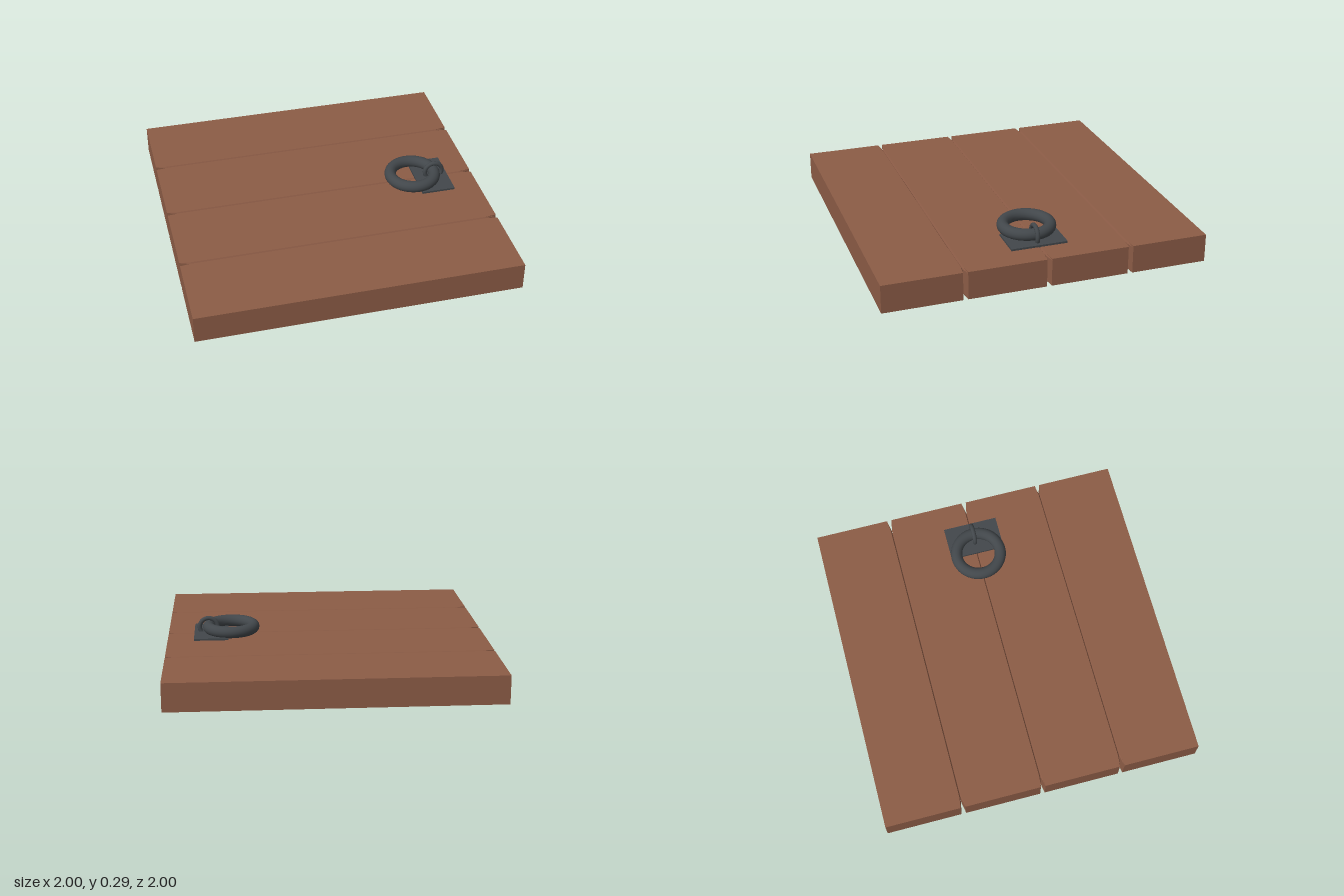
import * as THREE from 'three';

const H = 0.175; // plank thickness

// Plank lofted along x; jointed long edges are chamfered and flare open at the ends
function plankGeometry(z0, z1, jointBack, jointFront) {
  const stations = [[-1, 0.015, 0.015], [-0.93, 0.007, 0.001], [0.93, 0.007, 0.001], [1, 0.015, 0.015]];
  const c = 0.01;
  const rings = stations.map(([x, edge, mid]) => {
    const a = jointBack ? [edge, mid] : [0, 0];
    const b = jointFront ? [edge, mid] : [0, 0];
    return [
      [x, 0, z0 + a[0]], [x, c, z0 + a[1]], [x, H - c, z0 + a[1]], [x, H, z0 + a[0]],
      [x, H, z1 - b[0]], [x, H - c, z1 - b[1]], [x, c, z1 - b[1]], [x, 0, z1 - b[0]],
    ];
  });
  const pos = [];
  const tri = (p, q, r) => pos.push(...p, ...q, ...r);
  for (let s = 0; s < rings.length - 1; s++) {
    for (let i = 0; i < 8; i++) {
      const j = (i + 1) % 8;
      const p = rings[s][i], q = rings[s][j], r = rings[s + 1][j], t = rings[s + 1][i];
      tri(p, q, r);
      tri(p, r, t);
    }
  }
  // end caps
  const first = rings[0], last = rings[rings.length - 1];
  for (let i = 1; i < 7; i++) {
    tri(first[0], first[i + 1], first[i]);
    tri(last[0], last[i], last[i + 1]);
  }
  const g = new THREE.BufferGeometry();
  g.setAttribute('position', new THREE.Float32BufferAttribute(pos, 3));
  g.computeVertexNormals();
  return g;
}

export function createModel() {
  const group = new THREE.Group();
  const wood = new THREE.MeshStandardMaterial({ color: 0x8c5c46 });
  wood.name = 'brown wood';
  const iron = new THREE.MeshStandardMaterial({ color: 0x42474b });
  iron.name = 'dark iron';

  const add = (name, geometry, material, x = 0, y = 0, z = 0) => {
    const mesh = new THREE.Mesh(geometry, material);
    mesh.name = name;
    mesh.position.set(x, y, z);
    group.add(mesh);
    return mesh;
  };

  // four planks side by side
  const joints = [-1, -0.512, -0.003, 0.505, 1];
  for (let i = 0; i < 4; i++) {
    add(`plank${i + 1}`, plankGeometry(joints[i], joints[i + 1], i > 0, i < 3), wood);
  }

  // iron pull: plate, staple and ring
  add('ringPlate', new THREE.BoxGeometry(0.215, 0.014, 0.35), iron, 0.728, H + 0.005, -0.002);
  add('staple', new THREE.TorusGeometry(0.057, 0.014, 12, 32), iron, 0.745, 0.216, -0.002);
  const ring = add('pullRing', new THREE.TorusGeometry(0.143, 0.037, 16, 48), iron, 0.602, 0.216, -0.002);
  ring.rotation.x = Math.PI / 2;

  return group;
}
